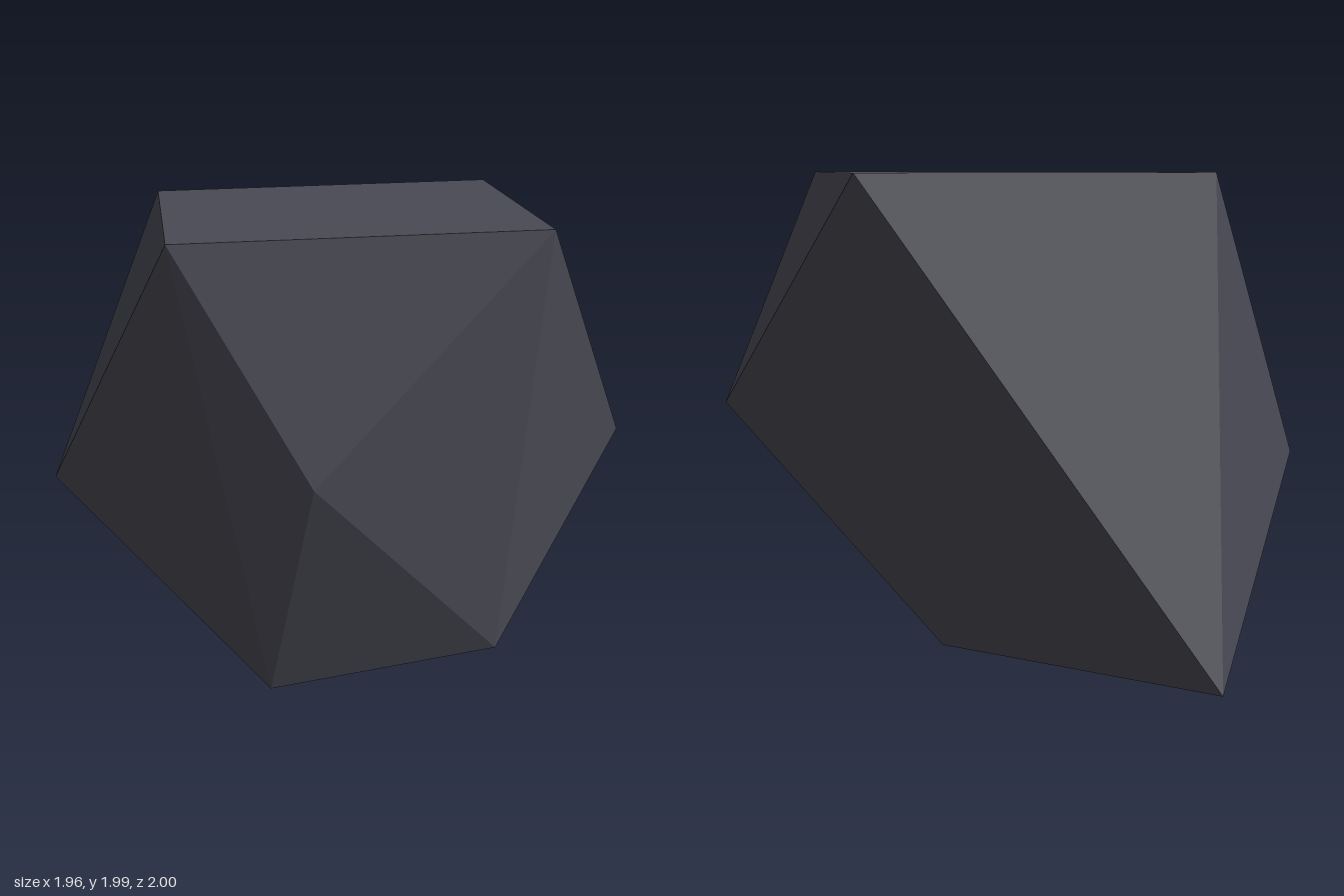
import * as THREE from 'three';
import { ConvexGeometry } from 'three/addons/geometries/ConvexGeometry.js';

export function createModel() {
  const model = new THREE.Group();
  model.name = 'rock';

  const stone = new THREE.MeshStandardMaterial({ color: 0x4a4a55 });
  stone.name = 'dark slate';

  // Corners of the faceted boulder
  const corners = [
    // flat top
    [0.19, 1.99, 1.0], [0.98, 1.99, -0.11], [0.03, 1.99, -1.0], [-0.77, 1.99, 0.2],
    // middle
    [0.51, 1.1, 0.63], [0.91, 1.08, -0.77], [-0.92, 0.82, 0.71],
    // underside
    [0.85, 0.335, -0.05], [0.18, 0.14, 0.53], [0.15, 0.07, -0.35], [-0.98, 0, -0.07],
  ].map((p) => new THREE.Vector3(...p));

  // The hull has one flat normal per face
  const boulder = new THREE.Mesh(new ConvexGeometry(corners), stone);
  boulder.name = 'boulder';
  model.add(boulder);
  return model;
}
